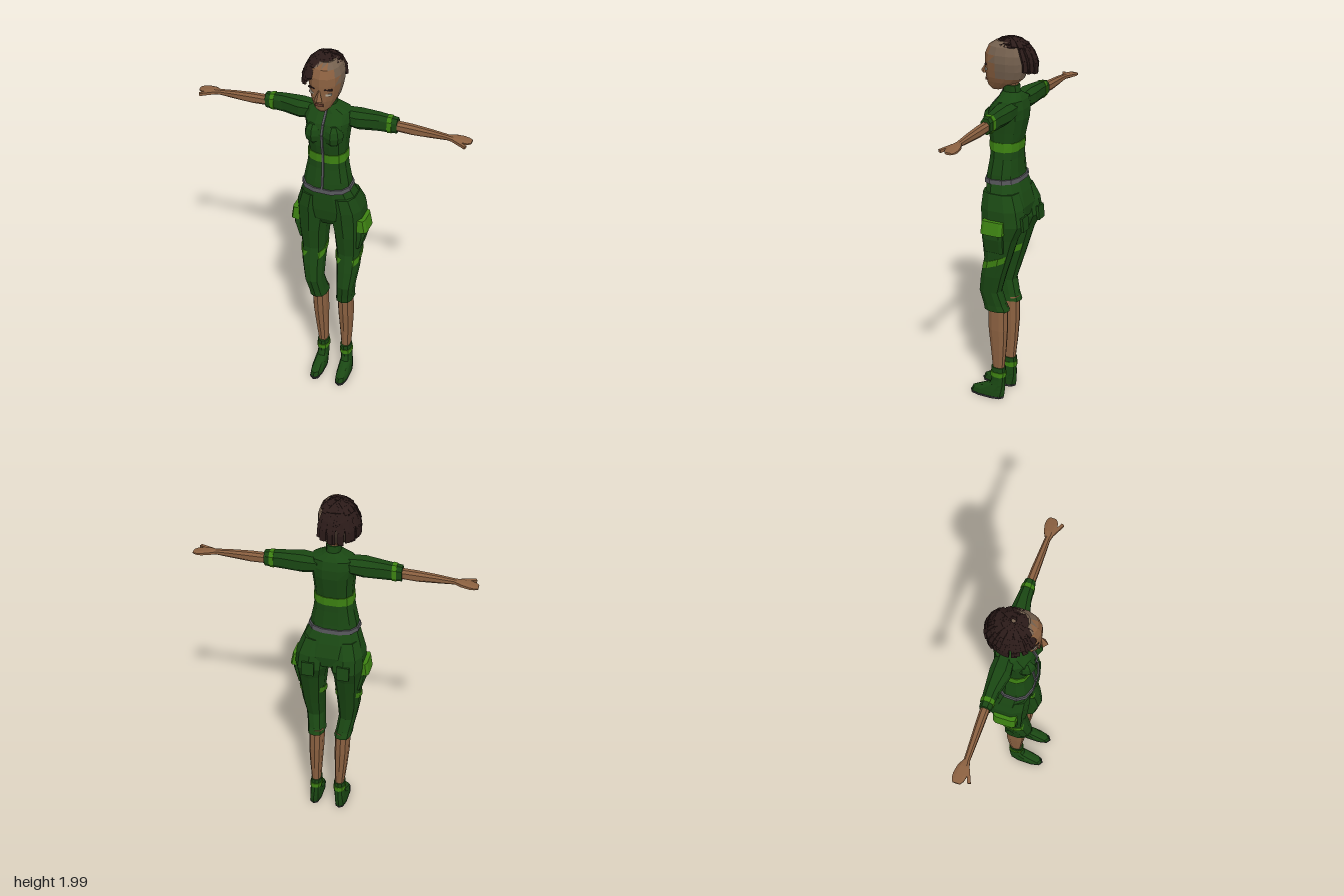
import * as THREE from 'three';

const GREEN = 0x1a4713, LIME = 0x3d8212, SKIN = 0x8a6040, SCALP = 0x75614f,
  HAIR = 0x2a1a18, GREY = 0x55555a, SOLE = 0x333336, WHITE = 0xb0a898;
const mats = {};
const mat = (c) => (mats[c] ??= new THREE.MeshStandardMaterial({ color: c, flatShading: true, side: THREE.DoubleSide }));

function add(parent, name, geo, color) {
  const m = new THREE.Mesh(geo, mat(color));
  m.name = name;
  parent.add(m);
  return m;
}

// Loft through rings [t, a0, a1, b0, b1]; t runs up y, or along x when opt.side is 1 or -1
function loft(parent, name, color, rings, opt = {}) {
  const { n = 10, pow = 0.8, side = 0, keep, bend } = opt;
  const sp = (v) => Math.sign(v) * Math.abs(v) ** pow;
  const place = (t, a, b) => {
    const p = side ? new THREE.Vector3(t * side, a, b) : new THREE.Vector3(a, t, b);
    if (bend) bend(p);
    return p;
  };
  const rs = [...rings].sort((p, q) => p[0] - q[0]);
  const pts = rs.map(([t, a0, a1, b0, b1]) => Array.from({ length: n }, (_, j) => {
    const w = ((j + 0.5) / n) * Math.PI * 2;
    return place(t, (a0 + a1) / 2 + sp(Math.cos(w)) * (a1 - a0) / 2, (b0 + b1) / 2 + sp(Math.sin(w)) * (b1 - b0) / 2);
  }));
  const mids = rs.map(([t, a0, a1, b0, b1]) => place(t, (a0 + a1) / 2, (b0 + b1) / 2));
  const pos = [];
  const tri = (a, b, c) => {
    if (keep && !keep(a.clone().add(b).add(c).divideScalar(3))) return;
    for (const p of side === 1 ? [a, c, b] : [a, b, c]) pos.push(p.x, p.y, p.z);
  };
  const top = rs.length - 1;
  for (let j = 0; j < n; j++) {
    const k = (j + 1) % n;
    for (let i = 0; i < top; i++) {
      tri(pts[i][j], pts[i + 1][j], pts[i][k]);
      tri(pts[i][k], pts[i + 1][j], pts[i + 1][k]);
    }
    tri(mids[0], pts[0][j], pts[0][k]);
    tri(mids[top], pts[top][k], pts[top][j]);
  }
  const g = new THREE.BufferGeometry();
  g.setAttribute('position', new THREE.Float32BufferAttribute(pos, 3));
  g.computeVertexNormals();
  return add(parent, name, g, color);
}

// Slightly larger strip of a loft between t0 and t1
function band(parent, name, color, rings, t0, t1, grow, opt) {
  const rs = [...rings].sort((p, q) => p[0] - q[0]);
  const at = (t) => {
    const i = Math.max(1, rs.findIndex((r) => r[0] >= t)), p = rs[i - 1], q = rs[i];
    const f = (t - p[0]) / (q[0] - p[0]);
    const r = p.map((v, k) => v + (q[k] - v) * f);
    return [t, r[1] - grow, r[2] + grow, r[3] - grow, r[4] + grow];
  };
  return loft(parent, name, color, [at(t0), at(t1)], opt);
}

function box(parent, name, color, size, at, rot = [0, 0, 0]) {
  const m = add(parent, name, new THREE.BoxGeometry(...size), color);
  m.position.set(...at);
  m.rotation.set(...rot);
  return m;
}

// Flat bar from p to q whose thickness faces the outward direction
function bar(parent, name, color, p, q, w, d, out) {
  const y = q.clone().sub(p), len = y.length();
  y.normalize();
  const x = y.clone().cross(out).normalize();
  const m = add(parent, name, new THREE.BoxGeometry(w, len, d), color);
  m.quaternion.setFromRotationMatrix(new THREE.Matrix4().makeBasis(x, y, x.clone().cross(y)));
  m.position.copy(p).add(q).multiplyScalar(0.5);
}
const V = (x, y, z) => new THREE.Vector3(x, y, z);

function makeTorso(g) {
  const rings = [[1.255, -.125, .13, -.09, .095], [1.3, -.12, .125, -.085, .09], [1.38, -.105, .108, -.08, .078],
    [1.45, -.095, .1, -.08, .075], [1.52, -.1, .105, -.095, .09], [1.59, -.108, .112, -.11, .098],
    [1.64, -.12, .12, -.11, .08], [1.685, -.11, .11, -.1, .04], [1.705, -.06, .06, -.085, .03],
    [1.72, -.037, .037, -.07, .02], [1.755, -.038, .038, -.065, .02]];
  loft(g, 'jacket', GREEN, rings, { n: 12 });
  band(g, 'waistStripe', LIME, rings, 1.42, 1.468, .004, { n: 12 });
  band(g, 'belt', GREY, rings, 1.257, 1.28, .008, { n: 12, bend: (p) => { p.y -= Math.max(0, p.z) * .12; } });
  for (const s of [-1, 1]) {
    const m = add(g, 'chest', new THREE.SphereGeometry(1, 8, 6), GREEN);
    m.scale.set(.052, .062, .056);
    m.position.set(s * .05, 1.58, .055);
  }
  // Front zip follows the jacket profile
  const zip = [[1.265, .095], [1.38, .08], [1.45, .078], [1.52, .092], [1.59, .1], [1.64, .082], [1.685, .042], [1.72, .022], [1.75, .021]];
  for (let i = 1; i < zip.length; i++)
    bar(g, 'zip', GREY, V(.002, ...zip[i - 1]), V(.002, ...zip[i]), .011, .008, V(0, 0, 1));
}

function makeArm(root, side) {
  const g = new THREE.Group();
  g.name = side > 0 ? 'leftArm' : 'rightArm';
  if (side < 0) g.position.set(-.003, .01, .011);
  root.add(g);
  const opt = { n: 8, side };
  const sleeve = [[.07, 1.6, 1.685, -.095, 0], [.15, 1.588, 1.692, -.1, .01], [.25, 1.592, 1.688, -.09, -.015], [.345, 1.594, 1.678, -.082, -.026]];
  loft(g, 'sleeve', GREEN, sleeve, opt);
  band(g, 'sleeveStripe', LIME, sleeve, .296, .318, .003, opt);
  loft(g, 'forearm', SKIN, [[.33, 1.607, 1.66, -.076, -.03], [.42, 1.603, 1.658, -.074, -.031], [.52, 1.608, 1.65, -.069, -.033], [.61, 1.614, 1.64, -.065, -.035]], opt);
  loft(g, 'hand', SKIN, [[.6, 1.614, 1.64, -.065, -.034], [.635, 1.612, 1.64, -.084, -.024], [.675, 1.611, 1.634, -.092, -.022], [.7, 1.612, 1.629, -.09, -.028], [.718, 1.614, 1.625, -.08, -.042]], opt);
  bar(g, 'thumb', SKIN, V(side * .63, 1.626, -.035), V(side * .7, 1.618, -.004), .016, .014, V(0, 1, 0));
}

const HIPS = [[1.265, -.122, .127, -.088, .09], [1.2, -.145, .16, -.115, .09], [1.13, -.163, .188, -.137, .088], [1.07, -.14, .165, -.13, .08], [1.025, -.06, .085, -.07, .05]];

function makeLeg(root, side) {
  const g = new THREE.Group();
  g.name = side > 0 ? 'leftLeg' : 'rightLeg';
  root.add(g);
  // The middle line between the legs drifts sideways towards the floor
  const mid = (y) => .013 + .03 * (1.13 - y);
  const put = (rs) => rs.map(([y, a, b, c, d]) => side < 0 ? [y, a, b, c, d] : [y, 2 * mid(y) - b, 2 * mid(y) - a, c, d]);
  const X = (x, y) => side < 0 ? x : 2 * mid(y) - x;
  const trouser = put([[1.21, -.138, .01, -.105, .088], [1.13, -.165, .012, -.142, .09], [1.05, -.166, .012, -.157, .085], [.97, -.156, -.003, -.118, .08],
    [.85, -.142, -.01, -.08, .066], [.75, -.132, -.013, -.05, .086], [.65, -.112, -.014, -.022, .1], [.57, -.095, -.004, -.045, .083], [.535, -.092, .004, -.062, .078]]);
  loft(g, 'trouserLeg', GREEN, trouser);
  band(g, 'thighStripe', LIME, trouser, .815, .85, .005, { bend: (p) => { p.y -= .4 * p.z; } });
  loft(g, 'shin', SKIN, put([[.56, -.083, -.002, -.05, .06], [.42, -.078, .001, -.052, .055], [.3, -.066, 0, -.045, .042], [.17, -.05, -.001, -.033, .03]]));
  const boot = put([[.188, -.056, .005, -.04, .042], [.11, -.055, .004, -.04, .038], [.085, -.057, .004, -.041, .05],
    [.06, -.06, .005, -.042, .105], [.04, -.062, .006, -.042, .152], [.01, -.062, .006, -.036, .163]]);
  loft(g, 'boot', GREEN, boot);
  band(g, 'bootStripe', LIME, boot, .133, .16, .004);
  loft(g, 'sole', SOLE, put([[0, -.06, .005, -.034, .165], [.013, -.064, .008, -.038, .168]]));
  // Cargo pocket on the outer thigh, and a patch pocket on the seat
  loft(g, 'sidePocket', GREEN, put([[1.06, -.182, -.1, -.07, .045], [.98, -.178, -.1, -.07, .048], [.9, -.152, -.1, -.065, .045]]), { n: 8, pow: .4 });
  loft(g, 'pocketFlap', LIME, put([[1.08, -.185, -.12, -.076, .047], [1.01, -.195, -.12, -.076, .05]]), { n: 8, pow: .4 });
  box(g, 'seatPocket', GREEN, [.065, .075, .014], [X(-.078, 1.06), 1.06, -.152], [.1, 0, 0]);
}

function makeHead(root) {
  const g = new THREE.Group();
  g.name = 'head';
  root.add(g);
  loft(g, 'neck', SKIN, [[1.7, -.03, .03, -.055, .01], [1.8, -.033, .03, -.06, .02]]);
  const rings = [[1.72, -.024, .018, .035, .088], [1.74, -.045, .038, -.01, .106], [1.765, -.06, .053, -.06, .112], [1.79, -.07, .064, -.09, .117], [1.83, -.08, .074, -.105, .118],
    [1.87, -.086, .081, -.11, .119], [1.91, -.085, .08, -.11, .117], [1.95, -.072, .068, -.09, .098], [1.975, -.045, .042, -.055, .06]];
  const isScalp = (p) => p.y > 1.79 && p.z < .055 + (p.y - 1.88) * .3;
  loft(g, 'face', SKIN, rings, { n: 14, pow: .9, keep: (p) => !isScalp(p) });
  loft(g, 'scalp', SCALP, rings, { n: 14, pow: .9, keep: isScalp });
  // Wedge nose, lips, eyes and brows
  const nose = add(g, 'nose', new THREE.ConeGeometry(.022, .065, 4), SKIN);
  nose.position.set(-.003, 1.83, .122);
  nose.rotation.x = -.25;
  box(g, 'lips', 0x6b4030, [.04, .013, .012], [-.003, 1.77, .11]);
  for (const s of [-1, 1]) {
    box(g, 'eye', WHITE, [.032, .01, .01], [-.003 + s * .043, 1.828, .1], [0, s * .45, 0]);
    box(g, 'brow', HAIR, [.04, .007, .01], [-.003 + s * .043, 1.855, .102], [0, s * .45, s * -.1]);
  }
}

// Chunky locks draped over one side and the back, cropped on the other side
function makeHair(root) {
  const g = new THREE.Group();
  g.name = 'hair';
  root.add(g);
  let seed = 7;
  const rnd = () => (seed = (seed * 16807) % 2147483647) / 2147483647;
  const point = (a, th, lift) => {
    const flare = 1 + lift + Math.max(0, th - 1.2) * .16;
    return V(-.016 + .101 * flare * Math.sin(th) * Math.cos(a), 1.863 + .118 * (1 + lift) * Math.cos(th), -.014 + .122 * flare * Math.sin(th) * Math.sin(a));
  };
  const lock = (a, t0, t1, lift) => {
    const steps = Math.max(1, Math.round((t1 - t0) / .4));
    for (let i = 0; i < steps; i++) {
      const p = point(a, t0 + (t1 - t0) * i / steps, lift), q = point(a, t0 + (t1 - t0) * (i + 1) / steps + .05, lift);
      bar(g, 'lock', HAIR, p, q, .027, .014, p.clone().sub(V(-.016, 1.863, -.014)));
    }
  };
  for (let d = 0; d < 360; d += 11) {
    const a = d * Math.PI / 180;
    let end = .68;
    if (d > 95 && d < 318) end = d < 160 ? 1 + (d - 95) * .012 : 1.9;
    if (d >= 285 && d < 318) end = 1.75;
    const j = () => (rnd() - .5) * .16;
    if (d % 2 === 0) lock(a, .1, Math.min(end, .75) + j(), .06);
    lock(a + j() * .5, .35, Math.min(end, 1.35) + j(), .03);
    if (end > .9) lock(a + j(), .7, end + j(), rnd() * .04);
  }
}

export function createModel() {
  const root = new THREE.Group();
  root.name = 'figure';
  makeTorso(root);
  loft(root, 'hips', GREEN, HIPS, { n: 12 });
  for (const side of [-1, 1]) {
    makeArm(root, side);
    makeLeg(root, side);
  }
  makeHead(root);
  makeHair(root);
  return root;
}
